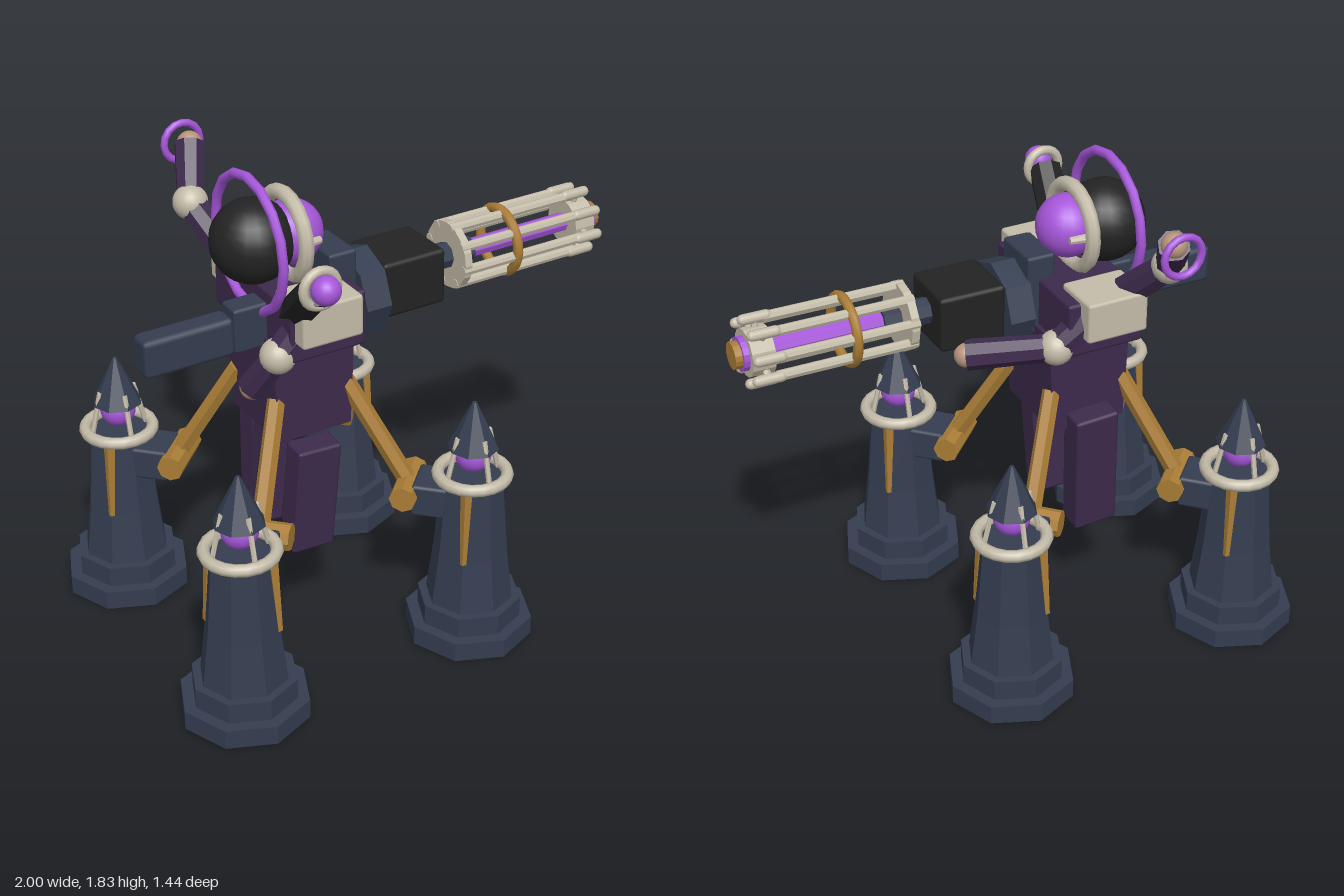
import * as THREE from 'three';
import { RoundedBoxGeometry } from 'three/addons/geometries/RoundedBoxGeometry.js';

const paint = (name, color) => {
  const m = new THREE.MeshStandardMaterial({ color });
  m.name = name;
  return m;
};
const slate = paint('slate', 0x343d50);
const plum = paint('plum', 0x3d2a4c);
const violet = paint('violet', 0xa656da);
const ivory = paint('ivory', 0xc4bca9);
const brass = paint('brass', 0xaa7d36);
const black = paint('black', 0x232323);
const skin = paint('skin', 0xb8957c);

const V = (x, y, z) => new THREE.Vector3(x, y, z);
const UP = V(0, 1, 0);

// Faceted normals for low-poly pieces
function flat(geo) {
  const g = geo.index ? geo.toNonIndexed() : geo;
  g.computeVertexNormals();
  return g;
}
function add(parent, name, geo, mat, x = 0, y = 0, z = 0) {
  const m = new THREE.Mesh(geo, mat);
  m.name = name;
  m.position.set(x, y, z);
  parent.add(m);
  return m;
}
const ball = (p, name, r, mat, x, y, z) => add(p, name, new THREE.SphereGeometry(r, 20, 14), mat, x, y, z);
const block = (p, name, w, h, d, mat, x, y, z, r = 0.012) =>
  add(p, name, new RoundedBoxGeometry(w, h, d, 1, r), mat, x, y, z);
const drum = (p, name, rTop, rBottom, y0, y1, mat, sides = 8) =>
  add(p, name, flat(new THREE.CylinderGeometry(rTop, rBottom, y1 - y0, sides)), mat, 0, (y0 + y1) / 2, 0);
const ring = (p, name, r, tube, mat, x, y, z, segs = 20) =>
  add(p, name, new THREE.TorusGeometry(r, tube, 8, segs), mat, x, y, z);

// Straight faceted rod between two points
function rod(p, name, a, b, ra, rb, mat, sides = 8) {
  const dir = b.clone().sub(a);
  const mid = a.clone().add(b).multiplyScalar(0.5);
  const m = add(p, name, flat(new THREE.CylinderGeometry(rb, ra, dir.length(), sides)), mat, mid.x, mid.y, mid.z);
  m.quaternion.setFromUnitVectors(UP, dir.normalize());
  return m;
}

// Lantern tower foot with its strut; local +x points at the body
function tower(p, sx, sz) {
  const g = new THREE.Group();
  g.name = 'towerLeg';
  g.position.set(-0.2825 + sx * 0.4775, 0, sz * 0.48);
  g.rotation.y = Math.atan2(sz, -sx);
  p.add(g);
  const shell = new THREE.Group();
  shell.name = 'towerShell';
  shell.rotation.y = Math.PI / 4;
  g.add(shell);
  drum(shell, 'basePlinth', 0.24, 0.24, 0, 0.075, slate);
  drum(shell, 'baseStep', 0.195, 0.195, 0.075, 0.155, slate);
  drum(shell, 'lowerWall', 0.138, 0.163, 0.155, 0.36, slate);
  drum(shell, 'upperWall', 0.113, 0.138, 0.36, 0.665, slate);
  ring(shell, 'balcony', 0.127, 0.023, ivory, 0, 0.675, 0).rotation.x = Math.PI / 2;
  ball(shell, 'lanternOrb', 0.067, violet, 0, 0.755, 0);
  drum(shell, 'roof', 0.008, 0.094, 0.785, 0.97, slate);
  for (let i = 0; i < 4; i++) {
    const c = Math.cos(i * Math.PI / 2), s = Math.sin(i * Math.PI / 2);
    rod(shell, 'lanternPost', V(0.112 * c, 0.66, 0.112 * s), V(0.068 * c, 0.84, 0.068 * s), 0.01, 0.01, ivory, 6);
  }
  // Brass ribs on the two flanks
  for (const s of [-1, 1])
    rod(g, 'brassRib', V(0, 0.36, s * 0.134), V(0, 0.655, s * 0.112), 0.012, 0.022, brass, 4);
  block(g, 'jointHousing', 0.14, 0.125, 0.17, slate, 0.14, 0.572, 0);
  rod(g, 'hipJoint', V(0.235, 0.59, -0.115), V(0.235, 0.59, 0.115), 0.05, 0.05, brass);
  rod(g, 'strut', V(0.235, 0.6, 0), V(0.475, 1.0, 0), 0.035, 0.033, brass, 6);
}

function limb(p, name, shoulder, elbow, hand) {
  const g = new THREE.Group();
  g.name = name;
  p.add(g);
  rod(g, 'upperArm', shoulder, elbow, 0.062, 0.055, plum);
  ball(g, 'elbow', 0.065, ivory, ...elbow.toArray());
  rod(g, 'forearm', elbow, hand, 0.05, 0.057, plum);
  ball(g, 'hand', 0.046, skin, ...hand.toArray());
}

function buildBody(p) {
  const g = new THREE.Group();
  g.name = 'body';
  p.add(g);
  // Tapered waist
  const waist = new THREE.BoxGeometry(0.33, 0.4, 0.345);
  const pos = waist.attributes.position;
  for (let i = 0; i < pos.count; i++) if (pos.getY(i) < 0) pos.setX(i, pos.getX(i) * 0.9);
  add(g, 'waist', flat(waist), plum, -0.2825, 1.035, 0);
  block(g, 'chest', 0.3, 0.21, 0.56, plum, -0.285, 1.31, 0);
  for (const s of [-1, 1]) block(g, 'shoulderPad', 0.24, 0.155, 0.2, ivory, -0.3, 1.358, s * 0.24);
  // Hanging robe panels
  const front = block(g, 'frontPanel', 0.175, 0.44, 0.105, plum, -0.305, 0.585, 0.17);
  front.rotation.set(0.07, 0, -0.045);
  const back = block(g, 'backPanel', 0.175, 0.5, 0.11, plum, -0.29, 0.655, -0.185);
  back.rotation.set(-0.07, 0, -0.045);
  block(g, 'sidePanel', 0.1, 0.4, 0.115, plum, -0.385, 0.63, 0).rotation.z = -0.12;
}

function buildHead(p) {
  const g = new THREE.Group();
  g.name = 'head';
  g.position.set(0, 1.565, 0.015);
  p.add(g);
  ball(g, 'hood', 0.153, black, -0.428, 0, -0.01);
  ball(g, 'face', 0.117, violet, -0.283, 0.005, 0);
  ring(g, 'collarRing', 0.152, 0.028, ivory, -0.305, 0, 0).rotation.y = Math.PI / 2;
  ring(g, 'halo', 0.245, 0.018, violet, -0.447, 0, 0, 16).rotation.y = Math.PI / 2;
  for (const s of [-1, 1])
    rod(g, 'cheekBar', V(-0.31, 0.005, s * 0.125), V(-0.23, 0.005, s * 0.115), 0.018, 0.014, ivory);
}

function buildArms(p) {
  limb(p, 'raisedArm', V(-0.39, 1.4, -0.24), V(-0.46, 1.56, -0.4), V(-0.385, 1.72, -0.54));
  ring(p, 'handRing', 0.073, 0.014, violet, -0.385, 1.705, -0.6, 16);
  limb(p, 'gunArm', V(-0.24, 1.35, -0.26), V(-0.11, 1.235, -0.23), V(0.17, 1.2, -0.08));
  limb(p, 'loweredArm', V(-0.36, 1.33, 0.23), V(-0.455, 1.22, 0.22), V(-0.51, 1.07, 0.13));
  // Black cannon arm ending in an orb
  rod(p, 'cannonArm', V(-0.37, 1.36, 0.2), V(-0.43, 1.575, 0.46), 0.066, 0.062, black);
  ring(p, 'cannonCuff', 0.064, 0.018, ivory, -0.428, 1.58, 0.47);
  ball(p, 'cannonOrb', 0.052, violet, -0.43, 1.59, 0.51);
}

function buildGun(p) {
  const g = new THREE.Group();
  g.name = 'rotaryGun';
  g.position.set(0, 1.335, 0.058);
  g.rotation.z = 0.012;
  p.add(g);
  const tube = (name, x0, x1, r, mat, sides = 16) => rod(g, name, V(x0, 0, 0), V(x1, 0, 0), r, r, mat, sides);
  // Receiver and tail
  block(g, 'tail', 0.345, 0.145, 0.1, slate, -0.73, -0.06, 0, 0.02);
  block(g, 'tailMount', 0.2, 0.17, 0.1, slate, -0.46, -0.045, 0);
  block(g, 'neckBlock', 0.11, 0.31, 0.2, slate, -0.145, 0.018, -0.01);
  tube('housing', -0.095, 0.005, 0.168, slate, 8).position.y = -0.04;
  block(g, 'motorBox', 0.255, 0.213, 0.245, black, 0.132, -0.012, 0, 0.015);
  tube('spindle', 0.25, 0.44, 0.05, slate, 8);
  tube('core', 0.42, 0.9, 0.036, violet, 8);
  // Barrel cage
  tube('rearDisc', 0.343, 0.373, 0.128, ivory);
  ring(g, 'brassBand', 0.122, 0.019, brass, 0.577, 0, 0, 24).rotation.y = Math.PI / 2;
  tube('frontDisc', 0.865, 0.95, 0.088, ivory);
  tube('muzzleRing', 0.945, 0.972, 0.063, violet);
  tube('muzzleCore', 0.95, 0.998, 0.05, brass);
  const claw = new THREE.CapsuleGeometry(0.02, 0.085, 4, 8).rotateZ(Math.PI / 2);
  for (let i = 0; i < 8; i++) {
    const a = (i + 0.5) * Math.PI / 4 - 0.2;
    const y = 0.113 * Math.cos(a), z = 0.113 * Math.sin(a);
    rod(g, 'barrel', V(0.34, y, z), V(0.87, y, z), 0.019, 0.019, ivory);
    add(g, 'barrelTip', claw, ivory, 0.898, y * 1.04, z * 1.04);
    rod(g, 'tipSpoke', V(0.9, 0, 0), V(0.9, y, z), 0.014, 0.014, ivory, 6);
  }
}

export function createModel() {
  const model = new THREE.Group();
  model.name = 'towerWalker';
  for (const sx of [-1, 1]) for (const sz of [-1, 1]) tower(model, sx, sz);
  buildBody(model);
  buildHead(model);
  buildArms(model);
  buildGun(model);
  return model;
}
